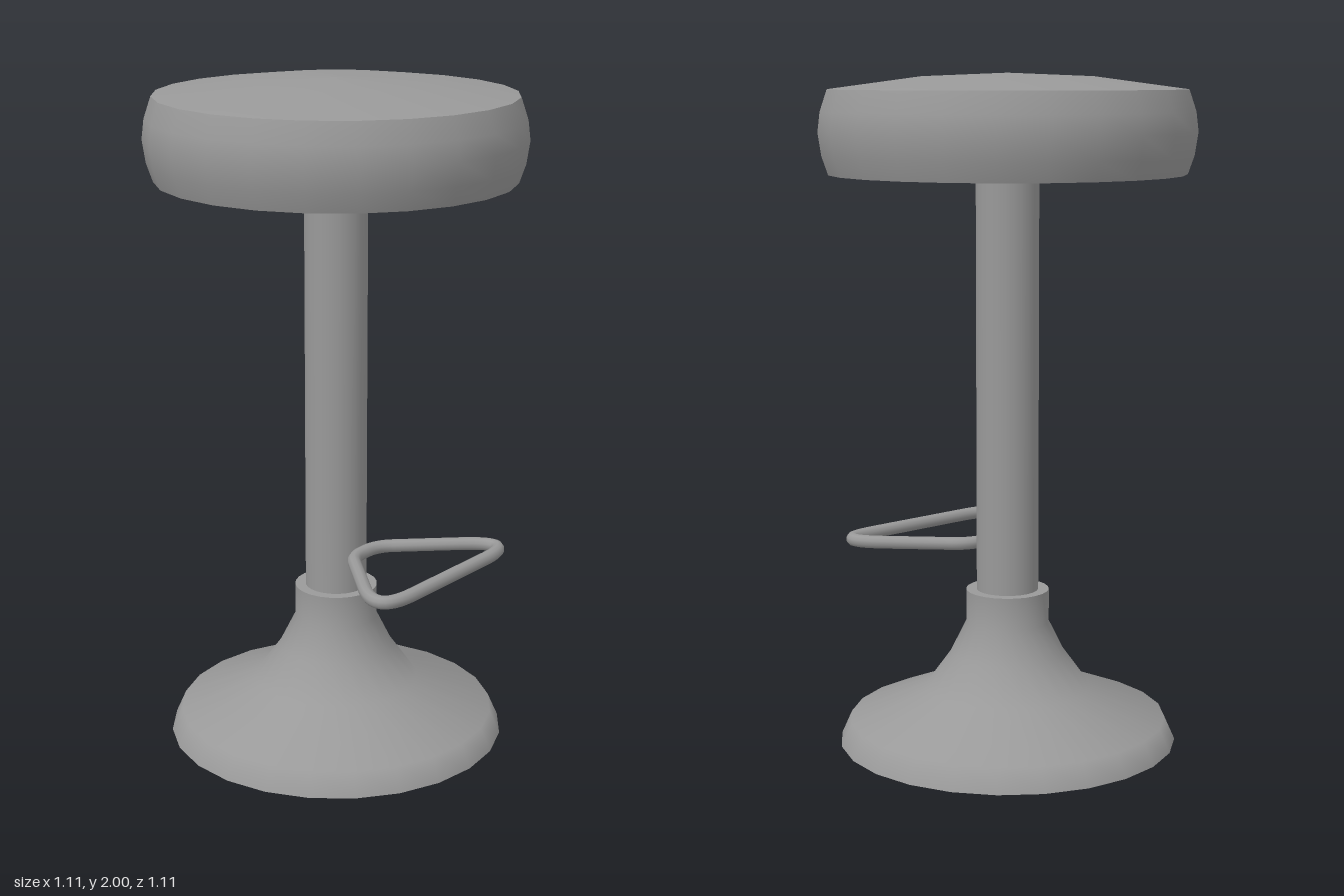
import * as THREE from 'three';

const SIDES = 24;
const material = new THREE.MeshStandardMaterial({ color: 0x999999, side: THREE.DoubleSide });

// Surface of revolution from [radius, height] pairs
function lathe(name, profile) {
  const points = profile.map(([r, y]) => new THREE.Vector2(r, y));
  const mesh = new THREE.Mesh(new THREE.LatheGeometry(points, SIDES), material);
  mesh.name = name;
  return mesh;
}

// Closed polygon path with each corner rounded by its own cut length
function roundedLoop(corners) {
  const path = new THREE.CurvePath();
  const n = corners.length;
  const toward = (a, b, d) => a.clone().add(b.clone().sub(a).setLength(d));
  corners.forEach(({ p, cut }, i) => {
    const prev = corners[(i + n - 1) % n];
    const next = corners[(i + 1) % n];
    const exit = toward(p, next.p, cut);
    path.add(new THREE.QuadraticBezierCurve3(toward(p, prev.p, cut), p, exit));
    path.add(new THREE.LineCurve3(exit, toward(next.p, p, next.cut)));
  });
  return path;
}

export function createModel() {
  const model = new THREE.Group();
  model.name = 'barStool';

  // Flared hollow base with a collar around the column
  const base = new THREE.Group();
  base.name = 'base';
  base.add(
    lathe('baseShell', [[0.509, 0], [0.478, 0.07], [0.248, 0.165], [0.172, 0.27], [0.125, 0.365], [0.125, 0.465]]),
    lathe('collarTop', [[0.125, 0.465], [0.093, 0.465]]),
  );

  // Column
  const column = lathe('column', [[0.093, 0.465], [0.093, 1.71]]);

  // Wire footrest: blunt inner end at the column, wide rounded outer bar
  const y = 0.592;
  const loop = roundedLoop([
    { p: new THREE.Vector3(0.11, y, -0.06), cut: 0.05 },
    { p: new THREE.Vector3(0.11, y, 0.06), cut: 0.05 },
    { p: new THREE.Vector3(0.425, y, 0.36), cut: 0.18 },
    { p: new THREE.Vector3(0.425, y, -0.36), cut: 0.18 },
  ]);
  const footrest = new THREE.Mesh(new THREE.TubeGeometry(loop, 120, 0.02, 10, true), material);
  footrest.name = 'footrest';

  // Cushioned seat: flat underside, bulging side, shallow dome
  const seat = new THREE.Group();
  seat.name = 'seat';
  seat.add(
    lathe('seatUnderside', [[0, 1.71], [0.524, 1.71]]),
    lathe('seatSide', [[0.524, 1.71], [0.543, 1.765], [0.553, 1.832], [0.546, 1.89], [0.525, 1.953]]),
    lathe('seatTop', [[0.525, 1.953], [0.25, 1.99], [0, 2]]),
  );

  model.add(base, column, footrest, seat);
  return model;
}
